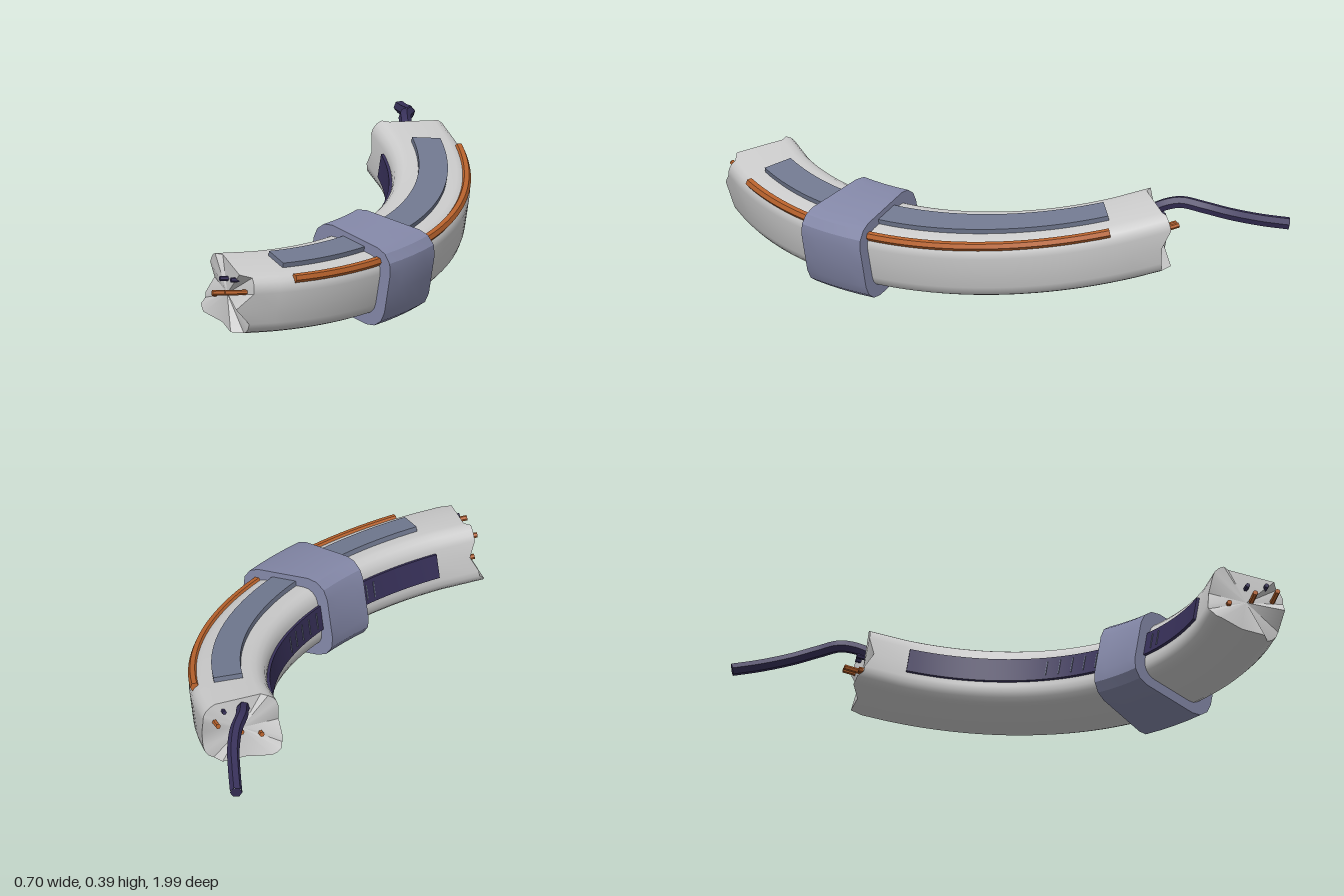
import * as THREE from 'three';
import { toCreasedNormals } from 'three/addons/utils/BufferGeometryUtils.js';

// Everything follows one shallow arc lying in a slightly tilted plane.
const CX = -0.865, CZ = 0.135, R = 1.04, DEG = Math.PI / 180;
const onArc = (dr, h, deg) => [
  CX + (R + dr) * Math.cos(deg * DEG), h, CZ + (R + dr) * Math.sin(deg * DEG)];

const mat = (color) => new THREE.MeshStandardMaterial({ color });
const GREY = mat(0xcccccc), BAND = mat(0x8488a8), SLATE = mat(0x717990);
const DARK = mat(0x38315a), COPPER = mat(0xb8622c);

// Rounded rectangle section, counterclockwise, with a point midway on each side.
function roundRect(w, h, r, segs, x = 0, y = 0) {
  const pts = [];
  const corners = [[1, 1], [-1, 1], [-1, -1], [1, -1]];
  corners.forEach(([sx, sy], k) => {
    for (let i = 0; i <= segs; i++) {
      const a = (k + i / segs) * Math.PI / 2;
      pts.push([x + sx * (w / 2 - r) + r * Math.cos(a), y + sy * (h / 2 - r) + r * Math.sin(a)]);
    }
    pts.push(k % 2 ? [x + sx * w / 2, y] : [x, y + sy * h / 2]);
  });
  return pts;
}

const rect = (x0, x1, y0, y1) => [[x1, y0], [x1, y1], [x0, y1], [x0, y0]];
const hexagon = (x, y, r) => Array.from({ length: 6 }, (_, i) =>
  [x + r * Math.cos(i * Math.PI / 3), y + r * Math.sin(i * Math.PI / 3)]);

// Sweeps a section along the arc and caps both ends; jag pushes end points outward.
function arcSweep(name, profile, from, to, material, steps, crease = 0.6, jag = null) {
  const n = profile.length, pos = [], idx = [];
  for (let i = 0; i <= steps; i++) {
    const side = i === 0 ? -1 : i === steps ? 1 : 0;
    const base = from + (to - from) * i / steps;
    for (const [dr, h] of profile) {
      pos.push(...onArc(dr, h, base + (jag && side ? side * jag(dr, h, side) : 0)));
    }
  }
  const mid = profile.reduce((s, p) => [s[0] + p[0] / n, s[1] + p[1] / n], [0, 0]);
  const capExtra = jag ? 4.5 : 0;
  pos.push(...onArc(...mid, from - capExtra), ...onArc(...mid, to + capExtra));
  const c0 = (steps + 1) * n, last = steps * n;
  for (let j = 0; j < n; j++) {
    const k = (j + 1) % n;
    for (let i = 0; i < steps; i++) {
      const a = i * n + j, b = i * n + k;
      idx.push(a, b, b + n, a, b + n, a + n);
    }
    idx.push(c0, k, j, c0 + 1, last + j, last + k);
  }
  const geo = new THREE.BufferGeometry();
  geo.setAttribute('position', new THREE.Float32BufferAttribute(pos, 3));
  geo.setIndex(idx);
  const mesh = new THREE.Mesh(toCreasedNormals(geo, crease), material);
  mesh.name = name;
  return mesh;
}

// Torn ends: how far each part of the rim reaches past the last full section.
function tornEdge(dr, h, side) {
  const mid = Math.abs(h) < 0.03;
  if (dr > 0.08) {
    if (side > 0) return mid ? 5.3 : 2.6;
    return mid ? 3 : h > 0 ? 5 : 2.5;
  }
  if (dr < -0.08) {
    if (mid) return 4.3;
    return h < -0.08 ? 6.8 : 5.8;
  }
  return 4.6;
}

export function createModel() {
  const model = new THREE.Group();
  const arc = new THREE.Group();
  arc.name = 'curvedAssembly';
  arc.position.y = 0.213;
  arc.rotation.set(0.065, 0, -0.18);
  model.add(arc);

  // Main shell and the clamp round it
  arc.add(arcSweep('body', roundRect(0.26, 0.21, 0.05, 4), -41, 41, GREY, 40, 0.7, tornEdge));
  arc.add(arcSweep('clampBand', roundRect(0.345, 0.28, 0.07, 3), 6, 18, BAND, 4, 0.3));

  // Raised plate on top and recessed-looking strip on the inner side
  arc.add(arcSweep('topPlate', rect(-0.05, 0.047, 0.09, 0.122), -36.5, 36.5, SLATE, 36));
  arc.add(arcSweep('innerStrip', rect(-0.14, -0.11, -0.04, 0.045), -38, 38, DARK, 36));
  for (const deg of [-8, -5, -2, 1, 4, 20, 22]) {
    arc.add(arcSweep('stripRung', rect(-0.143, -0.13, -0.025, 0.03), deg, deg + 0.2, SLATE, 1));
  }

  // Copper pipe along the upper outer edge
  arc.add(arcSweep('copperPipe', hexagon(0.112, 0.095, 0.016), -36, 36, COPPER, 36, 0.3));

  // Loose wire ends at both torn faces: radial offset, height, reach
  const wires = [
    [0.016, 0.01, 48.8, COPPER], [0.09, 0.045, 48, COPPER], [-0.06, -0.03, 47, COPPER],
    [-0.01, 0.05, 47.2, DARK], [0.055, 0.075, 46.5, DARK]];
  for (const side of [-1, 1]) {
    for (const [dr, h, end, material] of wires) {
      const r = material === DARK ? 0.008 : 0.009;
      const [a, b] = side > 0 ? [42, end] : [-end, -42];
      arc.add(arcSweep('wireEnd', hexagon(dr, h, r), a, b, material, 2, 0.3));
    }
  }

  // Cable trailing from the back
  const path = new THREE.CatmullRomCurve3([
    [-0.12, 0.33, -0.56], [-0.147, 0.362, -0.62], [-0.172, 0.372, -0.67],
    [-0.19, 0.362, -0.74], [-0.225, 0.34, -0.82], [-0.28, 0.315, -0.91],
    [-0.332, 0.298, -0.99]].map((p) => new THREE.Vector3(...p)));
  const tube = new THREE.TubeGeometry(path, 28, 0.021, 6);
  const cable = new THREE.Mesh(toCreasedNormals(tube, 0.5), DARK);
  cable.name = 'cable';
  const tip = new THREE.Mesh(new THREE.CircleGeometry(0.021, 6), DARK);
  tip.name = 'cableTip';
  tip.position.copy(path.getPoint(1));
  tip.lookAt(path.getPoint(1).add(path.getTangent(1)));
  model.add(cable, tip);

  // Rest on the ground
  const lift = -new THREE.Box3().setFromObject(model, true).min.y;
  for (const part of model.children) part.position.y += lift;
  return model;
}
